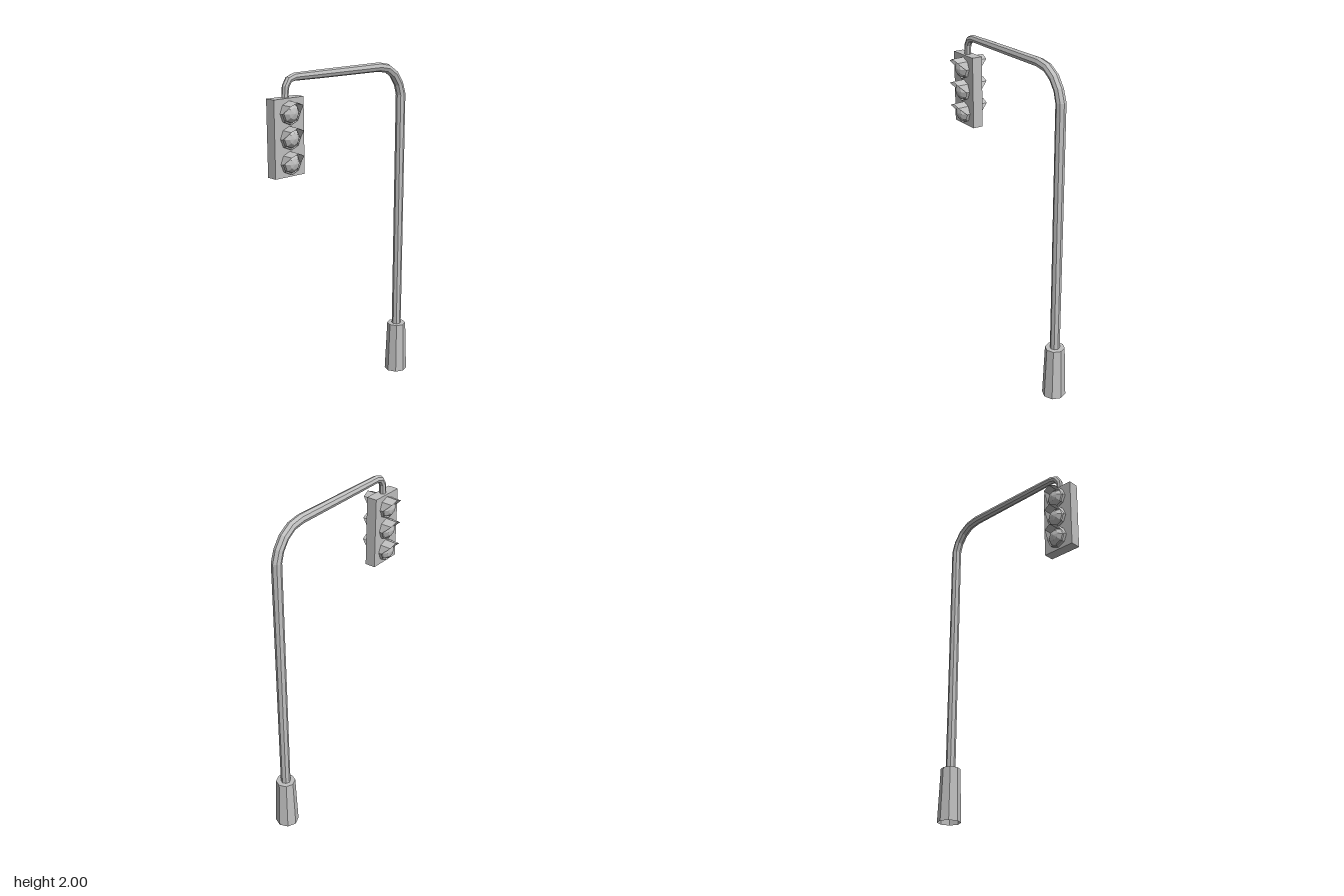
import * as THREE from 'three';

const SIDES = 8;

// Skin a list of octagonal rings; each ring is a function of angle returning [x, y, z]
function loft(rings) {
  const pos = [], idx = [];
  for (const ring of rings)
    for (let i = 0; i < SIDES; i++) pos.push(...ring((i / SIDES) * Math.PI * 2, i));
  for (let k = 0; k < rings.length - 1; k++)
    for (let i = 0; i < SIDES; i++) {
      const j = (i + 1) % SIDES;
      const a = k * SIDES + i, b = k * SIDES + j, c = b + SIDES, d = a + SIDES;
      idx.push(a, b, c, a, c, d);
    }
  const g = new THREE.BufferGeometry();
  g.setAttribute('position', new THREE.Float32BufferAttribute(pos, 3));
  g.setIndex(idx);
  const flat = g.toNonIndexed();
  flat.computeVertexNormals();
  return flat;
}

export function createModel() {
  const model = new THREE.Group();
  model.name = 'trafficLight';
  const grey = new THREE.MeshStandardMaterial({ color: 0xc0c0c0, flatShading: true, side: THREE.DoubleSide });
  grey.name = 'grey metal';

  const add = (parent, name, geometry, x = 0, y = 0, z = 0) => {
    const mesh = new THREE.Mesh(geometry, grey);
    mesh.name = name;
    mesh.position.set(x, y, z);
    parent.add(mesh);
    return mesh;
  };

  // Tapered base, open underneath, with a lid around the pole
  const poleZ = -0.465;
  add(model, 'base', new THREE.CylinderGeometry(0.058, 0.07, 0.32, SIDES, 1, true), 0, 0.16, poleZ);
  add(model, 'baseLid', new THREE.CircleGeometry(0.058, SIDES).rotateX(-Math.PI / 2), 0, 0.32, poleZ);

  // Pole and arm: one tapering bent tube, points are [z, y, radius]
  const path = [
    [poleZ, 0.3, 0.029], [poleZ, 1.8, 0.029], [-0.444, 1.865, 0.028], [-0.403, 1.922, 0.028],
    [-0.345, 1.96, 0.027], [-0.275, 1.973, 0.027], [0.2, 1.973, 0.024], [0.37, 1.973, 0.022],
    [0.408, 1.961, 0.021], [0.43, 1.927, 0.02], [0.437, 1.86, 0.019],
  ];
  const arm = path.map(([z, y, r], k) => {
    // Ring is set square to the average of the two neighbouring directions
    const dir = (a, b) => new THREE.Vector2(b[0] - a[0], b[1] - a[1]).normalize();
    const t = new THREE.Vector2();
    if (k > 0) t.add(dir(path[k - 1], path[k]));
    if (k < path.length - 1) t.add(dir(path[k], path[k + 1]));
    t.normalize();
    return (a) => [Math.cos(a) * r, y + Math.sin(a) * r * t.x, z - Math.sin(a) * r * t.y];
  });
  add(model, 'poleAndArm', loft(arm));

  // Signal box
  const boxZ = 0.435;
  add(model, 'signalBox', new THREE.BoxGeometry(0.064, 0.425, 0.205), 0, 1.6575, boxZ);

  // Hood: octagonal sleeve, long at the top and short at the bottom
  const reach = [0.105, 0.1, 0.052, 0.05, 0.05, 0.05, 0.052, 0.1];
  const octagon = (r, x) => (a, i) => [Array.isArray(x) ? x[i] : x, Math.cos(a) * r, Math.sin(a) * r];
  const hoodGeometry = loft([octagon(0.064, 0.03), octagon(0.062, reach)]);

  // Lens: faceted dome
  const lensGeometry = loft([octagon(0.054, 0.034), octagon(0.052, 0.052), octagon(0.032, 0.072), octagon(0, 0.08)]);

  // Three lamps on each side
  for (const [side, turn] of [['left', 0], ['right', Math.PI]]) {
    const lamps = new THREE.Group();
    lamps.name = side + 'Lamps';
    lamps.position.z = boxZ;
    lamps.rotation.y = turn;
    for (const y of [1.792, 1.657, 1.521]) {
      add(lamps, side + 'Hood', hoodGeometry, 0, y);
      add(lamps, side + 'Lens', lensGeometry, 0, y);
    }
    model.add(lamps);
  }
  return model;
}
